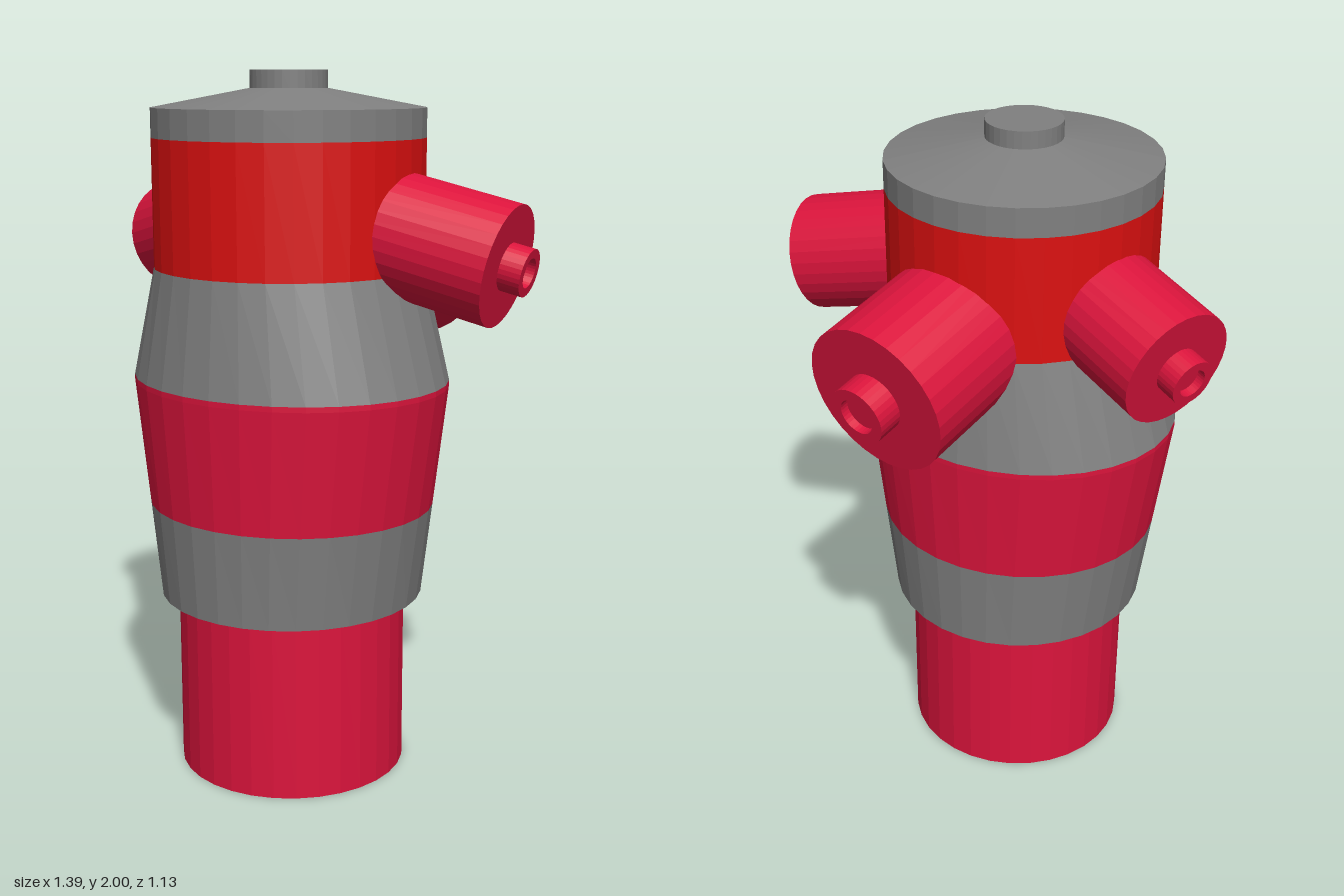
import * as THREE from 'three';

const SIDES = 32;
const NECK = 0.38;
const paint = (color) => new THREE.MeshStandardMaterial({ color, flatShading: true });
const crimson = paint(0xdc143c);
const red = paint(0xdc1010);
const grey = paint(0x808080);

// Turned part from [radius, y] points, listed from bottom to top.
function turned(name, material, profile) {
  const points = profile.map(([r, y]) => new THREE.Vector2(r, y));
  const geometry = new THREE.LatheGeometry(points, SIDES);
  const mesh = new THREE.Mesh(geometry, material);
  mesh.name = name;
  return mesh;
}

// Where the barrel bulges past the neck it bulges less front to back.
function flatten(mesh) {
  const p = mesh.geometry.attributes.position;
  for (let i = 0; i < p.count; i++) {
    const r = Math.hypot(p.getX(i), p.getZ(i));
    if (r > NECK) p.setZ(i, p.getZ(i) * (NECK + (r - NECK) * 0.42) / r);
  }
  mesh.geometry.computeVertexNormals();
  return mesh;
}

// Outlet whose outer face is centred on `end`, pointing along `direction`.
function outlet(name, end, direction, radius, length, nutRadius, nutLength) {
  const group = new THREE.Group();
  group.name = name;
  const hole = nutRadius * 0.62;
  group.add(
    turned('outletBarrel', crimson, [[0, -length], [radius, -length], [radius, 0], [0, 0]]),
    turned('outletNut', crimson, [
      [nutRadius, 0], [nutRadius, nutLength], [hole, nutLength],
      [hole, nutLength - 0.025], [0, nutLength - 0.025],
    ]),
  );
  group.position.set(...end);
  group.quaternion.setFromUnitVectors(
    new THREE.Vector3(0, 1, 0), new THREE.Vector3(...direction).normalize());
  return group;
}

export function createModel() {
  const model = new THREE.Group();
  model.name = 'hydrant';

  // Upright body, built from stacked bands
  const body = new THREE.Group();
  body.name = 'body';
  body.position.set(-0.02, 0, 0.15);
  body.add(
    turned('base', crimson, [[0, 0], [0.33, 0], [0.33, 0.53]]),
    flatten(turned('lowerCollar', grey, [[0.32, 0.52], [NECK, 0.52], [0.419, 0.79]])),
    flatten(turned('waistBand', crimson, [[0.419, 0.79], [0.47, 1.14], [0.47, 1.155]])),
    flatten(turned('shoulder', grey, [[0.47, 1.155], [NECK, 1.465]])),
    turned('upperBand', red, [[NECK, 1.465], [NECK, 1.82]]),
    turned('lid', grey, [[NECK, 1.82], [NECK, 1.9], [0.1, 1.953], [0, 1.953]]),
    turned('lidKnob', grey, [[0.107, 1.94], [0.107, 2], [0, 2]]),
  );
  model.add(body);

  // Two side outlets and a larger one at the back, all sloping down
  model.add(
    outlet('leftOutlet', [0.612, 1.5, -0.005], [0.95, -0.22, -0.235], 0.167, 0.42, 0.065, 0.062),
    outlet('rightOutlet', [-0.616, 1.5, 0.015], [-0.94, -0.22, -0.265], 0.167, 0.42, 0.065, 0.062),
    outlet('backOutlet', [-0.02, 1.418, -0.478], [0, -0.2, -0.98], 0.2165, 0.5, 0.084, 0.073),
  );
  return model;
}
